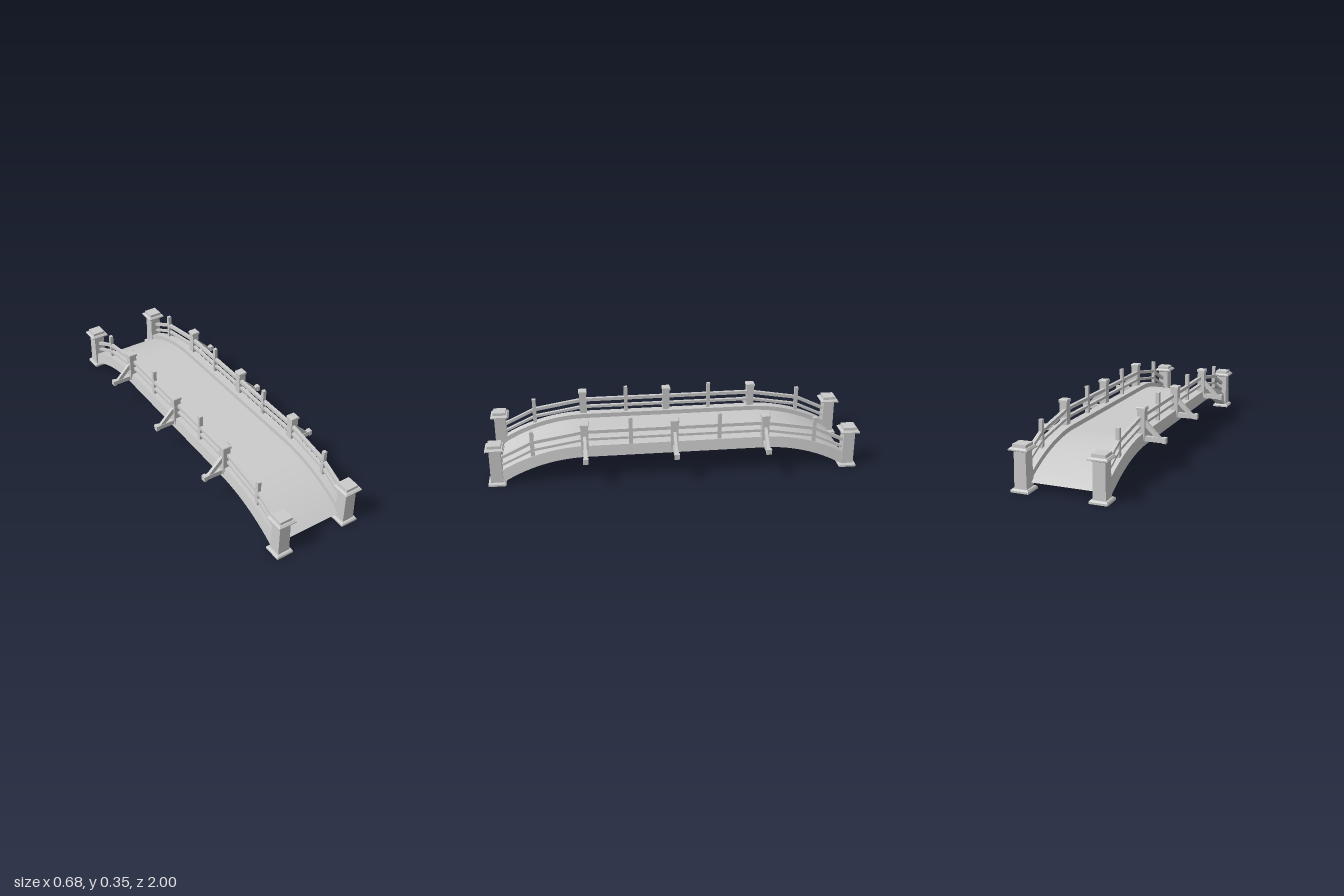
import * as THREE from 'three';
import { toCreasedNormals } from 'three/addons/utils/BufferGeometryUtils.js';

const grey = new THREE.MeshStandardMaterial({ color: 0xcccccc, side: THREE.DoubleSide });

// Bridge centre line: flat middle, circular arc towards both ends
const FLAT = 0.475, R = 0.868, TOP = 0.17;
function archY(z) {
  const d = Math.max(0, Math.abs(z) - FLAT);
  return TOP - (R - Math.sqrt(R * R - d * d));
}
function archSlope(z) {
  const d = Math.max(0, Math.abs(z) - FLAT);
  return -Math.sign(z) * d / Math.sqrt(R * R - d * d);
}
function archStations(end, n) {
  const zs = [];
  for (let i = 0; i <= n; i++) zs.push(-end + (end - FLAT) * i / n);
  return [...zs, ...zs.map((z) => -z).reverse()];
}

function add(parent, name, geometry, x = 0, y = 0, z = 0) {
  const mesh = new THREE.Mesh(geometry, grey);
  mesh.name = name;
  mesh.position.set(x, y, z);
  parent.add(mesh);
  return mesh;
}

// Box from y0 to y1
function block(parent, name, w, y0, y1, d, x = 0, z = 0) {
  return add(parent, name, new THREE.BoxGeometry(w, y1 - y0, d), x, (y0 + y1) / 2, z);
}

// Square block with different bottom and top widths
function taper(parent, name, w0, w1, y0, y1) {
  const geo = new THREE.BoxGeometry(1, y1 - y0, 1);
  const p = geo.attributes.position;
  for (let i = 0; i < p.count; i++) {
    const w = p.getY(i) < 0 ? w0 : w1;
    p.setX(i, p.getX(i) * w);
    p.setZ(i, p.getZ(i) * w);
  }
  const flat = geo.toNonIndexed();
  flat.computeVertexNormals();
  return add(parent, name, flat, 0, (y0 + y1) / 2, 0);
}

// Sweep a counter-clockwise section [x, up] along stations {y, z, slope}
function sweep(section, stations) {
  const pos = [], idx = [], n = section.length;
  for (const s of stations) {
    const k = s.slope / Math.hypot(1, s.slope), c = 1 / Math.hypot(1, s.slope);
    for (const [x, u] of section) pos.push(x, s.y + u * c, s.z - u * k);
  }
  for (let i = 0; i < stations.length - 1; i++) {
    for (let j = 0; j < n; j++) {
      const a = i * n + j, b = i * n + (j + 1) % n;
      idx.push(a, b, b + n, a, b + n, a + n);
    }
  }
  const last = (stations.length - 1) * n;
  for (let j = 1; j < n - 1; j++) idx.push(0, j + 1, j, last, last + j, last + j + 1);
  const geo = new THREE.BufferGeometry();
  geo.setAttribute('position', new THREE.Float32BufferAttribute(pos, 3));
  geo.setIndex(idx);
  return toCreasedNormals(geo, 0.4);
}

// Heavy post at a bridge corner
function endPost() {
  const g = new THREE.Group();
  g.name = 'endPost';
  taper(g, 'endPostFoot', 0.094, 0.094, 0, 0.01);
  taper(g, 'endPostFootBevel', 0.094, 0.082, 0.01, 0.017);
  taper(g, 'endPostShaft', 0.066, 0.061, 0.012, 0.203);
  taper(g, 'endPostCapUnderside', 0.074, 0.094, 0.199, 0.205);
  taper(g, 'endPostCapPlate', 0.1, 0.1, 0.205, 0.211);
  taper(g, 'endPostCapBevel', 0.096, 0.084, 0.211, 0.218);
  taper(g, 'endPostCapTop', 0.072, 0.07, 0.217, 0.233);
  return g;
}

// Capped post with its outrigger arm and diagonal brace, on the +x side
function bracedPost() {
  const g = new THREE.Group();
  g.name = 'bracedPost';
  block(g, 'bracedPostShaft', 0.04, 0.16, 0.32, 0.04, 0.212);
  block(g, 'bracedPostCap', 0.048, 0.317, 0.329, 0.047, 0.212);
  const bevel = taper(g, 'bracedPostCapBevel', 0.048, 0.042, 0.329, 0.333);
  bevel.position.x = 0.212;
  block(g, 'outriggerArm', 0.125, 0.159, 0.184, 0.022, 0.265);
  block(g, 'outriggerEnd', 0.018, 0.157, 0.186, 0.028, 0.332);
  // Brace cut flush with the arm and the post
  const s = new THREE.Shape();
  s.moveTo(0.285, 0.18);
  s.lineTo(0.317, 0.18);
  s.lineTo(0.228, 0.268);
  s.lineTo(0.228, 0.235);
  s.closePath();
  add(g, 'diagonalBrace', new THREE.ExtrudeGeometry(s, { depth: 0.016, bevelEnabled: false }), 0, 0, -0.008);
  return g;
}

export function createModel() {
  const model = new THREE.Group();
  model.name = 'archedFootbridge';

  // Walking surface
  const arch = archStations(0.945, 14).map((z) => ({ z, y: archY(z), slope: archSlope(z) }));
  const deckZ = archStations(0.94, 14);
  const deck = new THREE.PlaneGeometry(0.36, 1, 1, deckZ.length - 1);
  deck.rotateX(-Math.PI / 2);
  const p = deck.attributes.position;
  for (let i = 0; i < p.count; i++) {
    const z = deckZ[Math.floor(i / 2)];
    p.setY(i, archY(z) + 0.005);
    p.setZ(i, z);
  }
  deck.computeVertexNormals();
  add(model, 'deck', deck, -0.003);

  for (const side of [1, -1]) {
    const cx = side * 0.2 - 0.004;

    // Side beam, its outer face leaning inwards
    const section = [[-0.028, -0.03], [0.028, -0.03], [0.019, 0.03], [-0.028, 0.03]];
    const beamSection = side > 0 ? section : section.map(([x, u]) => [-x, u]).reverse();
    add(model, 'sideBeam', sweep(beamSection, arch), cx);

    // Two handrails, straight between the posts
    for (const [name, lift, h] of [['topRail', 0.109, 0.009], ['lowerRail', 0.066, 0.007]]) {
      const zs = [-0.94, -0.755, -0.48, 0.48, 0.755, 0.94];
      const rail = zs.map((z) => ({ z, y: archY(z) + lift, slope: 0 }));
      const w = 0.009;
      add(model, name, sweep([[-w, -h], [w, -h], [w, h], [-w, h]], rail), side * 0.203);
    }

    // Slim posts carrying the rails
    for (const z of [-0.755, -0.237, 0.237, 0.755]) {
      const top = Math.abs(z) > 0.5 ? 0.295 : 0.348;
      block(model, 'slimPost', 0.019, archY(z) - 0.01, top, 0.02, side * 0.202, z);
    }

    // Braced posts
    for (const z of [-0.482, 0.006, 0.48]) {
      const post = bracedPost();
      post.position.z = z;
      if (side < 0) post.rotation.y = Math.PI;
      model.add(post);
    }

    // Corner posts
    for (const end of [1, -1]) {
      const post = endPost();
      post.position.set(side * 0.2 - 0.005, 0, end * 0.95);
      model.add(post);
    }
  }
  return model;
}
